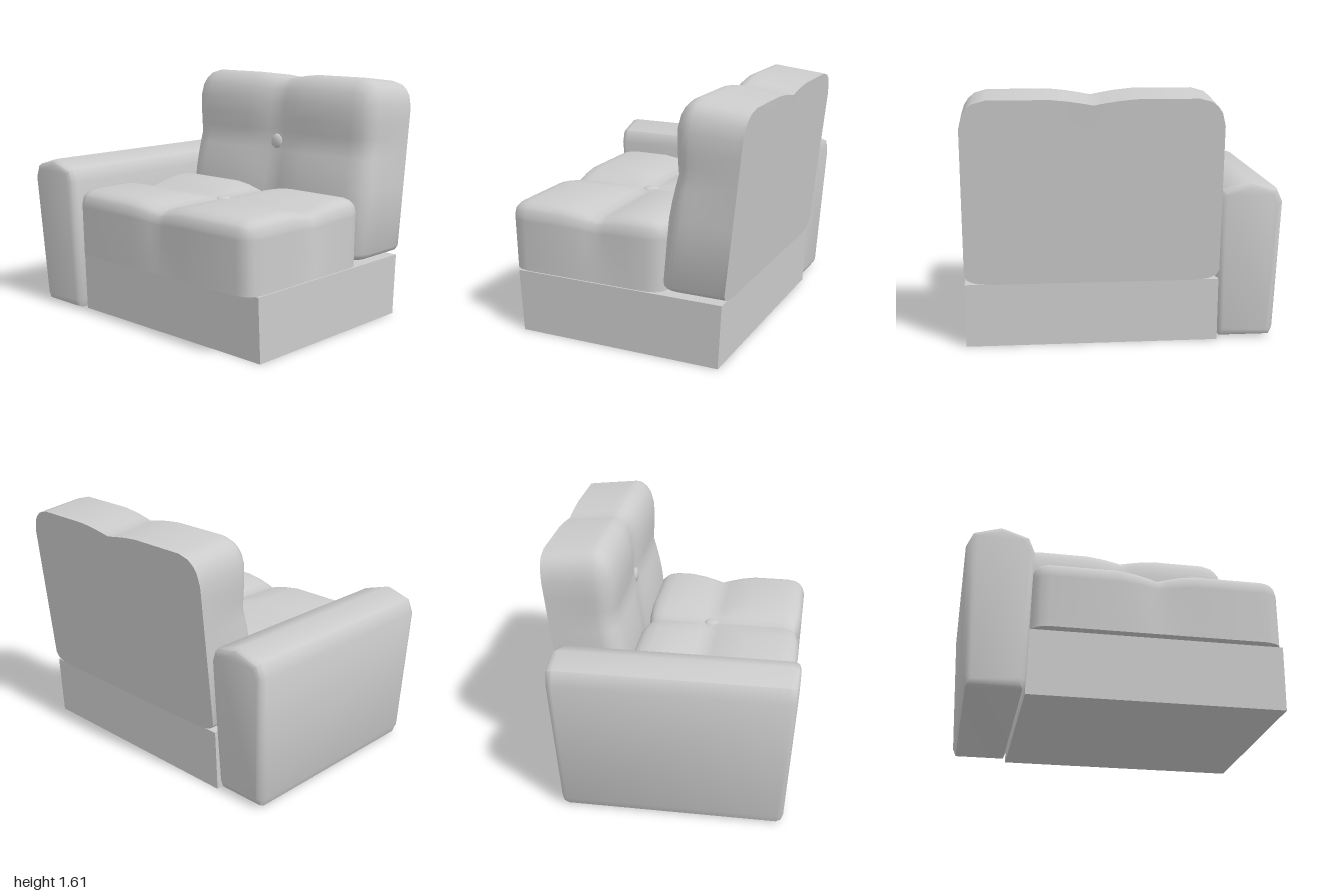
import * as THREE from 'three';
import { toCreasedNormals } from 'three/addons/utils/BufferGeometryUtils.js';

const grey = new THREE.MeshStandardMaterial({ color: 0xcccccc });
const AXES = ['x', 'y', 'z'];

function addMesh(group, name, geometry) {
  const mesh = new THREE.Mesh(geometry, grey);
  mesh.name = name;
  group.add(mesh);
  return mesh;
}

// Move every vertex by a rule
function bend(geometry, rule) {
  const pos = geometry.attributes.position;
  const p = new THREE.Vector3();
  for (let i = 0; i < pos.count; i++) {
    p.fromBufferAttribute(pos, i);
    rule(p);
    pos.setXYZ(i, p.x, p.y, p.z);
  }
  return geometry;
}

// Grid lines along one axis: dense at the rounded ends and around the crease
function gridLines(lo, hi, rLo, rHi, c, w) {
  const list = [lo, lo + 0.45 * rLo, lo + rLo, hi - rHi, hi - 0.45 * rHi, hi,
    c - w, c - 0.6 * w, c - 0.25 * w, c, c + 0.25 * w, c + 0.6 * w, c + w]
    .filter((v) => v >= lo && v <= hi)
    .sort((a, b) => a - b);
  return list.filter((v, i) => i === 0 || v - list[i - 1] > 0.004);
}

// 1 on the crease line, fading to 0 at distance w
const crease = (d, w) => Math.pow(Math.max(0, 1 - Math.abs(d) / w), 1.4);

// Box with a separate rounding radius on each side, then tufted by a rule
function cushion(lo, hi, rLo, rHi, c, w, rule) {
  const lines = AXES.map((_, k) => gridLines(lo[k], hi[k], rLo[k], rHi[k], c[k], w));
  const n = lines.map((l) => l.length - 1);
  const geo = new THREE.BoxGeometry(2, 2, 2, n[0], n[1], n[2]);
  bend(geo, (p) => {
    const d = [0, 0, 0], r = [0, 0, 0], inner = [0, 0, 0];
    AXES.forEach((a, k) => {
      const v = lines[k][Math.round(((p[a] + 1) / 2) * n[k])];
      const min = lo[k] + rLo[k], max = hi[k] - rHi[k];
      inner[k] = Math.min(max, Math.max(min, v));
      r[k] = v < inner[k] ? rLo[k] : rHi[k];
      d[k] = r[k] > 0 ? (v - inner[k]) / r[k] : 0;
    });
    const len = Math.max(1, Math.hypot(...d));
    AXES.forEach((a, k) => { p[a] = inner[k] + (d[k] / len) * r[k]; });
    rule(p);
  });
  return toCreasedNormals(geo, 0.8);
}

export function createModel() {
  const group = new THREE.Group();
  group.name = 'armchairSection';

  // Plinth, slightly narrower in depth at the floor
  const base = new THREE.BoxGeometry(1.6, 0.41, 1.41);
  base.translate(0.2, 0.205, 0.015);
  bend(base, (p) => { if (p.y < 0.1) p.z *= 0.97; });
  addMesh(group, 'base', base);

  // Armrest: bevelled extrusion, tapering towards the floor
  const profile = [[-0.95, 0.01], [-0.62, 0.01], [-0.6, 0.06], [-0.58, 0.9],
    [-0.615, 0.985], [-0.79, 1.04], [-0.96, 0.99], [-1, 0.9], [-0.97, 0.06]];
  const arm = new THREE.ExtrudeGeometry(
    new THREE.Shape(profile.map(([x, y]) => new THREE.Vector2(x, y))),
    { depth: 1.46, bevelThickness: 0.045, bevelSize: 0.04, bevelOffset: -0.04, bevelSegments: 2 });
  arm.translate(0, 0, -0.73);
  bend(arm, (p) => { p.z = 0.055 + p.z * (0.92 + 0.08 * p.y); });
  addMesh(group, 'armrest', toCreasedNormals(arm, 0.9));

  // Seat cushion with crossing creases
  const seat = cushion([-0.59, 0.41, -0.31], [0.99, 0.862, 0.795],
    [0.11, 0, 0.13], [0.11, 0.1, 0.13], [0.2, 0.6, 0.17], 0.24, (p) => {
      const cx = crease(p.x - 0.2, 0.24), cz = crease(p.z - 0.17, 0.24);
      const t = (p.y - 0.41) / 0.45;
      const edgeX = Math.pow((p.x - 0.2) / 0.79, 7);
      const edgeZ = Math.pow((p.z - 0.2425) / 0.5525, 7);
      p.y -= 0.052 * Math.max(cx, cz) * t * t * t;
      p.x -= 0.035 * cz * t * edgeX;
      p.z -= 0.035 * cx * t * edgeZ + 0.015 * (1 - t) * edgeZ;
    });
  addMesh(group, 'seatCushion', seat);

  // Back cushion: flat rear, tufted front, leaning backwards
  const back = cushion([-0.6, 0.41, 0], [1, 1.57, 0.455],
    [0.16, 0.06, 0], [0.16, 0.17, 0.13], [0.2, 1.14, 0.2], 0.26, (p) => {
      const cx = crease(p.x - 0.2, 0.26), cy = crease(p.y - 1.14, 0.26);
      const t = (p.y - 0.41) / 1.16, f = p.z / 0.455;
      const edgeX = Math.pow((p.x - 0.2) / 0.8, 7);
      p.x -= 0.02 * cy * f * edgeX;
      p.z -= 0.06 * (1 - (1 - 0.7 * cx) * (1 - 0.6 * cy)) * f * f * f;
      p.y += 0.115 * Math.min(p.z, 0.36) * t * t * t - 0.035 * cx * Math.pow(t, 8);
      p.z -= 0.70 + 0.125 * t;
    });
  addMesh(group, 'backCushion', back);

  // Tufting buttons
  const ball = new THREE.SphereGeometry(0.055, 10, 8);
  const seatButton = addMesh(group, 'seatButton', ball);
  seatButton.position.set(0.2, 0.805, 0.17);
  seatButton.scale.y = 0.4;
  const backButton = addMesh(group, 'backButton', ball);
  backButton.position.set(0.2, 1.14, -0.38);
  backButton.scale.z = 0.5;

  return group;
}
